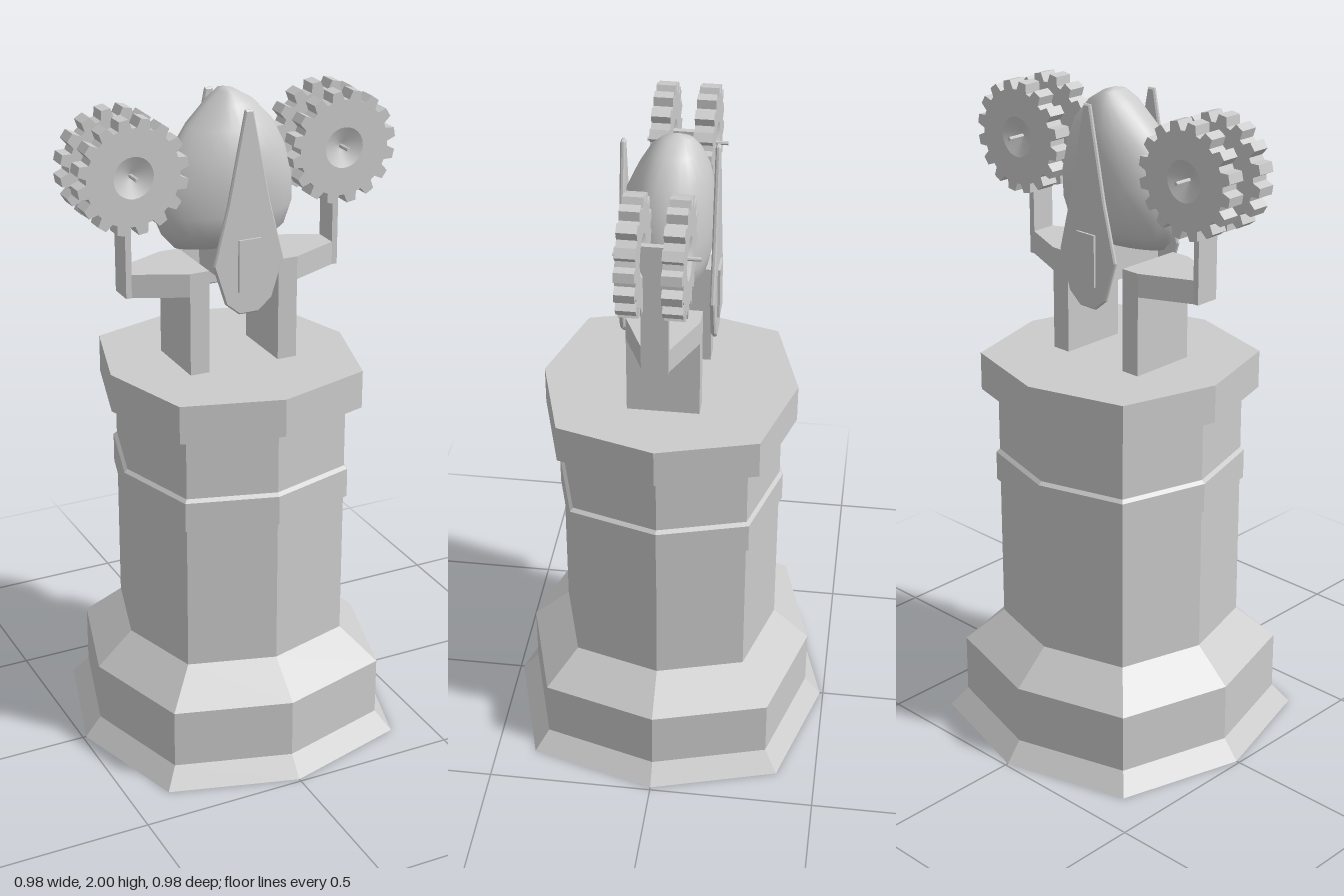
import * as THREE from 'three';
import { mergeVertices } from 'three/addons/utils/BufferGeometryUtils.js';

const flat = new THREE.MeshStandardMaterial({ color: 0xcccccc, flatShading: true, side: THREE.DoubleSide });
const smooth = new THREE.MeshStandardMaterial({ color: 0xcccccc, side: THREE.DoubleSide });

function add(parent, name, geometry, x = 0, y = 0, z = 0, material = flat) {
  const mesh = new THREE.Mesh(geometry, material);
  mesh.name = name;
  mesh.position.set(x, y, z);
  parent.add(mesh);
  return mesh;
}
const shapeOf = (pts) => new THREE.Shape(pts.map(([x, y]) => new THREE.Vector2(x, y)));
const extrude = (shape, depth) => new THREE.ExtrudeGeometry(shape, { depth, bevelEnabled: false });

// Octagonal column, open underneath, with corners pushed out on the diagonals
function pedestalGeometry() {
  const profile = [[0.49, 0], [0.44, 0.06], [0.44, 0.24], [0.33, 0.34], [0.33, 0.785], [0.34, 0.79],
    [0.34, 0.88], [0.33, 0.89], [0.33, 1.085], [0.375, 1.085], [0.375, 1.2], [0, 1.2]];
  const g = new THREE.LatheGeometry(profile.map(([r, y]) => new THREE.Vector2(r, y)), 8);
  const p = g.attributes.position;
  for (let i = 0; i < p.count; i++) {
    const x = p.getX(i), z = p.getZ(i);
    if (Math.abs(x) > 0.01 && Math.abs(z) > 0.01) p.setXYZ(i, x * 1.097, p.getY(i), z * 1.097);
  }
  g.computeVertexNormals();
  return g;
}

// Egg-like body lofted through horizontal sections: y, left x, right x, half depth, centre z
function bodyGeometry() {
  const rows = [[1.55, -0.03, -0.03, 0, 0], [1.555, -0.17, 0.12, 0.065, 0], [1.60, -0.21, 0.17, 0.105, 0],
    [1.66, -0.235, 0.19, 0.118, 0], [1.74, -0.225, 0.188, 0.127, 0], [1.83, -0.18, 0.165, 0.122, 0],
    [1.90, -0.125, 0.135, 0.1, -0.01], [1.96, -0.06, 0.08, 0.07, -0.015], [1.99, -0.02, 0.03, 0.04, -0.02],
    [2.0, 0, 0, 0, -0.02]];
  const n = 24, pos = [], idx = [];
  rows.forEach(([y, xl, xr, d, cz], j) => {
    for (let i = 0; i < n; i++) {
      const a = (i / n) * Math.PI * 2, c = Math.cos(a), s = Math.sin(a);
      // pointed toward -x, blunt toward +x
      const depth = c < 0 ? Math.sign(s) * Math.pow(Math.abs(s), 1.25) : Math.sign(s) * Math.pow(Math.abs(s), 0.85);
      pos.push(c < 0 ? -c * xl : c * xr, y, cz + depth * d);
      if (j) {
        const k = (i + 1) % n, a0 = (j - 1) * n + i, b0 = (j - 1) * n + k, a1 = j * n + i, b1 = j * n + k;
        idx.push(a0, a1, b1, a0, b1, b0);
      }
    }
  });
  let g = new THREE.BufferGeometry();
  g.setAttribute('position', new THREE.Float32BufferAttribute(pos, 3));
  g.setIndex(idx);
  g = mergeVertices(g, 1e-4);
  g.computeVertexNormals();
  return g;
}

// Toothed wheel with a conical dish in each face
function addWheel(parent, z) {
  const teeth = 16, pts = [], w = 0.055;
  for (let i = 0; i < teeth; i++) {
    for (const [t, r] of [[0.05, 0.14], [0.2, 0.166], [0.62, 0.166], [0.77, 0.14]]) {
      const a = ((i + t) / teeth) * Math.PI * 2;
      pts.push([r * Math.cos(a), r * Math.sin(a)]);
    }
  }
  const shape = shapeOf(pts);
  shape.holes.push(new THREE.Path().absarc(0, 0, 0.06, 0, Math.PI * 2, true));
  const wheel = new THREE.Group();
  wheel.name = 'toothedWheel';
  wheel.position.z = z;
  add(wheel, 'wheelRim', extrude(shape, w), 0, 0, -w / 2);
  for (const s of [1, -1]) {
    const dish = new THREE.LatheGeometry([new THREE.Vector2(0, 0.004), new THREE.Vector2(0.012, 0.005),
      new THREE.Vector2(0.06, w / 2)], 24);
    add(wheel, 'wheelDish', dish, 0, 0, 0, smooth).rotation.x = s * Math.PI / 2;
  }
  parent.add(wheel);
}

export function createModel() {
  const model = new THREE.Group();
  add(model, 'pedestal', pedestalGeometry());
  add(model, 'body', bodyGeometry(), 0, 0, 0, smooth);
  add(model, 'hubBlock', new THREE.BoxGeometry(0.07, 0.155, 0.288), 0, 1.522, 0);

  // Pointed plates on the front and back
  const half = [[0.03, 1.375], [0.072, 1.41], [0.11, 1.53], [0.066, 1.7], [0.012, 1.97]];
  const outline = [...half, ...half.map(([x, y]) => [-x, y]).reverse()];
  for (const s of [1, -1]) {
    const plate = new THREE.ExtrudeGeometry(shapeOf(outline),
      { depth: 0.006, bevelThickness: 0.004, bevelSize: 0.004, bevelOffset: -0.004, bevelSegments: 1 });
    add(model, 'pointedPlate', plate, 0, 0, s * 0.13 - 0.003);
  }

  // Supports, arms and paired wheels on each side
  for (const s of [1, -1]) {
    add(model, 'post', new THREE.BoxGeometry(0.06, 0.26, 0.21), s * 0.14, 1.32, 0);
    const plan = [[0.11, -0.105], [0.17, -0.105], [0.32, -0.038], [0.337, -0.038],
      [0.337, 0.038], [0.32, 0.038], [0.17, 0.105], [0.11, 0.105]];
    const arm = extrude(shapeOf(plan.map(([x, z]) => [s * x, z])), 0.07).rotateX(-Math.PI / 2);
    add(model, 'arm', arm, 0, 1.44, 0);
    add(model, 'upright', new THREE.BoxGeometry(0.018, 0.34, 0.076), s * 0.328, 1.67, 0);

    const wheels = new THREE.Group();
    wheels.name = 'wheelPair';
    wheels.position.set(s * 0.327, 1.807, 0);
    addWheel(wheels, 0.058);
    addWheel(wheels, -0.066);
    add(wheels, 'axle', new THREE.CylinderGeometry(0.006, 0.006, 0.235, 8), 0, 0, -0.007).rotation.x = Math.PI / 2;
    model.add(wheels);
  }
  return model;
}
